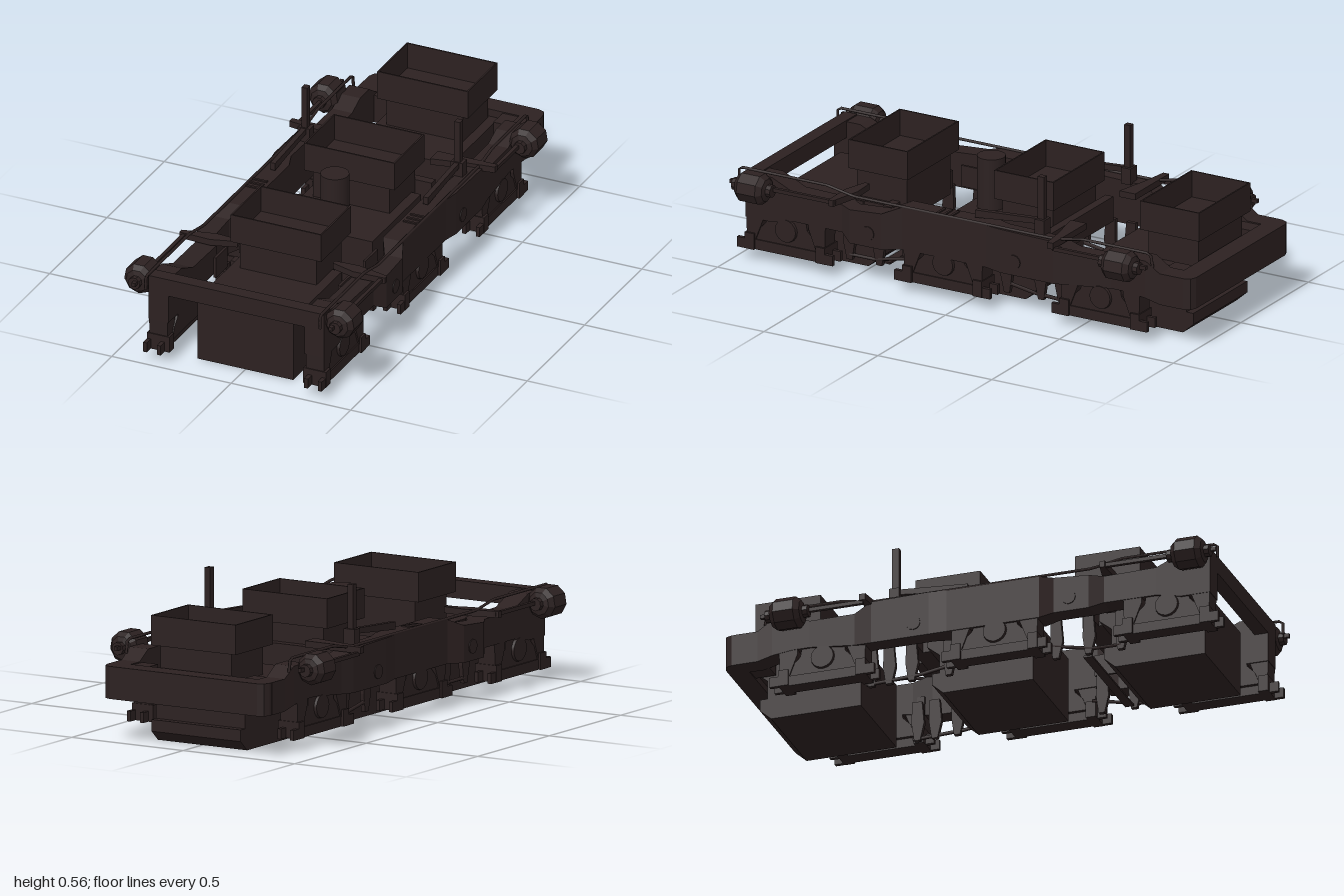
import * as THREE from 'three';

const iron = new THREE.MeshStandardMaterial({ color: 0x2c2121, side: THREE.DoubleSide });
iron.name = 'dark iron';

function add(parent, name, geo, x = 0, y = 0, z = 0) {
  const m = new THREE.Mesh(geo, iron);
  m.name = name;
  m.position.set(x, y, z);
  parent.add(m);
  return m;
}

// box given by its limits
function box(parent, name, x0, x1, y0, y1, z0, z1) {
  return add(parent, name, new THREE.BoxGeometry(x1 - x0, y1 - y0, z1 - z0),
    (x0 + x1) / 2, (y0 + y1) / 2, (z0 + z1) / 2);
}

function shapeOf(pts) {
  return new THREE.Shape(pts.map(p => new THREE.Vector2(p[0], p[1])));
}

// side profile in (z, y), extruded from x0 to x1
function sideProfile(parent, name, pts, x0, x1) {
  const geo = new THREE.ExtrudeGeometry(shapeOf(pts.map(p => [-p[0], p[1]])), { depth: x1 - x0, bevelEnabled: false });
  geo.rotateY(Math.PI / 2);
  return add(parent, name, geo, x0);
}

// plan profile in (x, z), extruded from y0 to y1
function planProfile(parent, name, pts, y0, y1) {
  const geo = new THREE.ExtrudeGeometry(shapeOf(pts.map(p => [p[0], -p[1]])), { depth: y1 - y0, bevelEnabled: false });
  geo.rotateX(-Math.PI / 2);
  return add(parent, name, geo, 0, y0);
}

// thin pipe through straight runs
function pipe(parent, name, pts, r) {
  const path = new THREE.CurvePath();
  const v = pts.map(p => new THREE.Vector3(...p));
  for (let i = 1; i < v.length; i++) path.add(new THREE.LineCurve3(v[i - 1], v[i]));
  return add(parent, name, new THREE.TubeGeometry(path, 12 * (v.length - 1), r, 6, false));
}

// rectangular beam lofted along z: [z, yBottom, yTop, xInner, xOuter]
function loft(parent, name, sections) {
  const pos = [], idx = [];
  for (const [z, b, t, i, o] of sections) pos.push(i, b, z, o, b, z, o, t, z, i, t, z);
  for (let s = 0; s < sections.length - 1; s++) {
    for (let k = 0; k < 4; k++) {
      const a = s * 4 + k, c = s * 4 + (k + 1) % 4;
      idx.push(a, a + 4, c, c, a + 4, c + 4);
    }
  }
  const e = (sections.length - 1) * 4;
  idx.push(0, 1, 2, 0, 2, 3, e, e + 2, e + 1, e, e + 3, e + 2);
  let geo = new THREE.BufferGeometry();
  geo.setAttribute('position', new THREE.Float32BufferAttribute(pos, 3));
  geo.setIndex(idx);
  geo = geo.toNonIndexed();
  geo.computeVertexNormals();
  return add(parent, name, geo);
}

// motor casing with a neck and an open air duct on top
function motor(z0, d0, d1) {
  const g = new THREE.Group();
  g.name = 'tractionMotor';
  sideProfile(g, 'motorCasing', [[z0 + 0.095, 0], [z0 + 0.095, 0.26], [z0 - 0.33, 0.26], [z0 - 0.33, 0.2],
    [z0 - 0.28, 0.16], [z0 - 0.28, 0.085], [z0 - 0.31, 0.085], [z0 - 0.31, 0.04], [z0 - 0.265, 0]], -0.2, 0.2);
  box(g, 'ductNeck', -0.16, 0.16, 0.2, 0.375, d0 + 0.02, d1 - 0.02);
  box(g, 'ductFloor', -0.19, 0.19, 0.375, 0.385, d0, d1);
  for (const s of [-1, 1]) box(g, 'ductSide', s * 0.187 - 0.003, s * 0.187 + 0.003, 0.375, 0.49, d0, d1);
  for (const z of [d0, d1 - 0.006]) box(g, 'ductEnd', -0.19, 0.19, 0.375, 0.49, z, z + 0.006);
  return g;
}

// journal box, pedestal legs and tie bar around one axle
function journal(z0) {
  const g = new THREE.Group();
  g.name = 'journal';
  const rel = pts => pts.map(([z, y]) => [z0 + z, y]);
  sideProfile(g, 'journalBox', rel([[-0.14, 0.08], [0.14, 0.08], [0.12, 0.13], [0.09, 0.16], [0.08, 0.22],
    [-0.08, 0.22], [-0.09, 0.16], [-0.12, 0.13]]), 0.285, 0.36);
  for (const s of [-1, 1]) {
    sideProfile(g, 'pedestalLeg', rel([[s * 0.1, 0.24], [s * 0.1, 0.17], [s * 0.135, 0.08], [s * 0.17, 0.08],
      [s * 0.175, 0.24]]), 0.29, 0.366);
    box(g, 'pedestalFoot', 0.28, 0.375, 0.045, 0.11, z0 + s * 0.155 - 0.02, z0 + s * 0.155 + 0.02);
    for (const x of [0.3, 0.358])
      box(g, 'tieBarEnd', x, x + 0.016, 0.045, 0.085, z0 + s * 0.18 - 0.03, z0 + s * 0.18 + 0.03);
  }
  box(g, 'tieBar', 0.3, 0.365, 0.045, 0.085, z0 - 0.17, z0 + 0.17);
  const cap = new THREE.CylinderGeometry(0.045, 0.05, 0.02, 16);
  cap.rotateZ(-Math.PI / 2);
  add(g, 'axleCap', cap, 0.36, 0.145, z0);
  return g;
}

// brake cylinder along z with tapered ends
function brakeCylinder(z) {
  const pts = [[0, -0.085], [0.025, -0.085], [0.025, -0.065], [0.045, -0.06], [0.062, -0.04],
    [0.062, 0.04], [0.045, 0.06], [0.025, 0.065], [0.025, 0.085], [0, 0.085]];
  let geo = new THREE.LatheGeometry(pts.map(p => new THREE.Vector2(...p)), 9);
  geo.rotateX(Math.PI / 2);
  geo = geo.toNonIndexed();
  geo.computeVertexNormals();
  return add(new THREE.Group(), 'brakeCylinder', geo, 0.42, 0.317, z);
}

function brakeHanger(parent, z, y1) {
  const x = 0.257;
  sideProfile(parent, 'brakeHanger', [[z - 0.02, y1], [z + 0.02, y1], [z + 0.028, 0.11], [z + 0.012, 0.04],
    [z - 0.012, 0.04], [z - 0.022, 0.11]], x - 0.009, x + 0.009);
}

function sideHalf() {
  const g = new THREE.Group();
  g.name = 'sideAssembly';
  // side frame
  loft(g, 'sideFrame', [
    [0.955, 0.17, 0.35, 0.285, 0.368], [0.84, 0.17, 0.35, 0.285, 0.368], [0.74, 0.19, 0.305, 0.285, 0.368],
    [0.53, 0.19, 0.3, 0.285, 0.37], [0.48, 0.165, 0.3, 0.325, 0.4], [0.34, 0.165, 0.31, 0.325, 0.4],
    [0.27, 0.17, 0.34, 0.285, 0.37], [-0.1, 0.17, 0.34, 0.285, 0.37], [-0.17, 0.165, 0.34, 0.31, 0.38],
    [-0.4, 0.165, 0.335, 0.31, 0.38], [-0.47, 0.17, 0.3, 0.285, 0.37], [-0.65, 0.19, 0.3, 0.285, 0.368],
    [-0.72, 0.19, 0.33, 0.285, 0.368], [-0.8, 0.18, 0.33, 0.285, 0.368], [-0.86, 0.165, 0.29, 0.285, 0.366],
    [-0.95, 0.165, 0.29, 0.285, 0.366]]);
  box(g, 'rearBracket', 0.215, 0.29, 0.17, 0.285, -0.92, -0.84);
  for (const z of [0.06, 0.09, 0.12]) box(g, 'frameRib', 0.3, 0.36, 0.338, 0.345, z - 0.005, z + 0.005);
  for (const [x, z] of [[0.394, 0.4], [0.374, -0.23]]) {
    const pin = new THREE.CylinderGeometry(0.028, 0.028, 0.02, 12);
    pin.rotateZ(Math.PI / 2);
    add(g, 'framePin', pin, x, 0.22, z);
  }
  for (const z of [0.78, 0.09, -0.6]) g.add(journal(z));

  // brake gear
  for (const z of [0.89, -0.72]) g.add(brakeCylinder(z));
  box(g, 'frontPushRod', 0.405, 0.42, 0.315, 0.33, 0.53, 0.995);
  box(g, 'rearPushRod', 0.405, 0.42, 0.315, 0.33, -0.83, -0.42);
  planProfile(g, 'frontBrakeLever', [[0.2, 0.51], [0.3, 0.505], [0.43, 0.535], [0.43, 0.555], [0.3, 0.56], [0.2, 0.53]], 0.31, 0.335);
  planProfile(g, 'rearBrakeLever', [[0.18, -0.43], [0.28, -0.43], [0.43, -0.43], [0.43, -0.405], [0.32, -0.39], [0.18, -0.36]], 0.325, 0.35);
  for (const z of [0.43, 0.56, 0.3, -0.13, -0.28, -0.37, -0.44]) brakeHanger(g, z, 0.2);
  pipe(g, 'frontBrakeRod', [[0.26, 0.06, 0.56], [0.26, 0.06, 0.45], [0.26, 0.1, 0.26]], 0.007);
  pipe(g, 'rearBrakeRod', [[0.26, 0.08, -0.13], [0.26, 0.06, -0.25], [0.26, 0.05, -0.46]], 0.007);
  for (const [z0, z1] of [[0.27, 0.38], [0.5, 0.6]]) box(g, 'upperBrakeRod', 0.255, 0.265, 0.2, 0.285, z0, z1);

  // hand lever with its pivot
  box(g, 'leverPost', 0.308, 0.332, 0.36, 0.565, -0.332, -0.305);
  sideProfile(g, 'leverArm', [[-0.03, 0.345], [-0.03, 0.375], [-0.33, 0.395], [-0.33, 0.375]], 0.31, 0.33);
  planProfile(g, 'leverPivot', [[0.295, -0.34], [0.345, -0.34], [0.345, -0.3], [0.295, -0.3]], 0.33, 0.395);

  // air line along the frame
  pipe(g, 'airLine', [[0.365, 0.31, 0.985], [0.365, 0.365, 0.985], [0.365, 0.365, 0.6], [0.365, 0.342, 0.48],
    [0.365, 0.342, -0.41], [0.365, 0.363, -0.52], [0.365, 0.363, -0.82], [0.365, 0.31, -0.83]], 0.006);
  return g;
}

export function createModel() {
  const model = new THREE.Group();
  model.name = 'railTruck';

  const left = sideHalf(), right = sideHalf();
  right.scale.x = -1;
  model.add(left, right);

  // end beams and mounts
  box(model, 'frontBeam', -0.365, 0.365, 0.285, 0.355, 0.9, 0.955);
  planProfile(model, 'rearBeam', [[-0.365, -0.92], [-0.365, -0.965], [-0.355, -0.99], [-0.33, -1], [0.33, -1],
    [0.355, -0.99], [0.365, -0.965], [0.365, -0.92]], 0.165, 0.29);
  box(model, 'frontBrakeBeam', -0.235, 0.235, 0.04, 0.048, 0.4, 0.435);
  box(model, 'frontMotorMount', -0.23, 0.23, 0.2, 0.27, 0.4, 0.435);
  box(model, 'middleMotorMount', -0.23, 0.23, 0.2, 0.3, -0.305, -0.27);

  // motors
  model.add(motor(0.78, 0.35, 0.61), motor(0.09, -0.29, -0.03), motor(-0.6, -0.93, -0.67));

  // centre pivot
  add(model, 'centrePivot', new THREE.CylinderGeometry(0.055, 0.055, 0.225, 20), 0, 0.3525, 0.095);
  return model;
}
